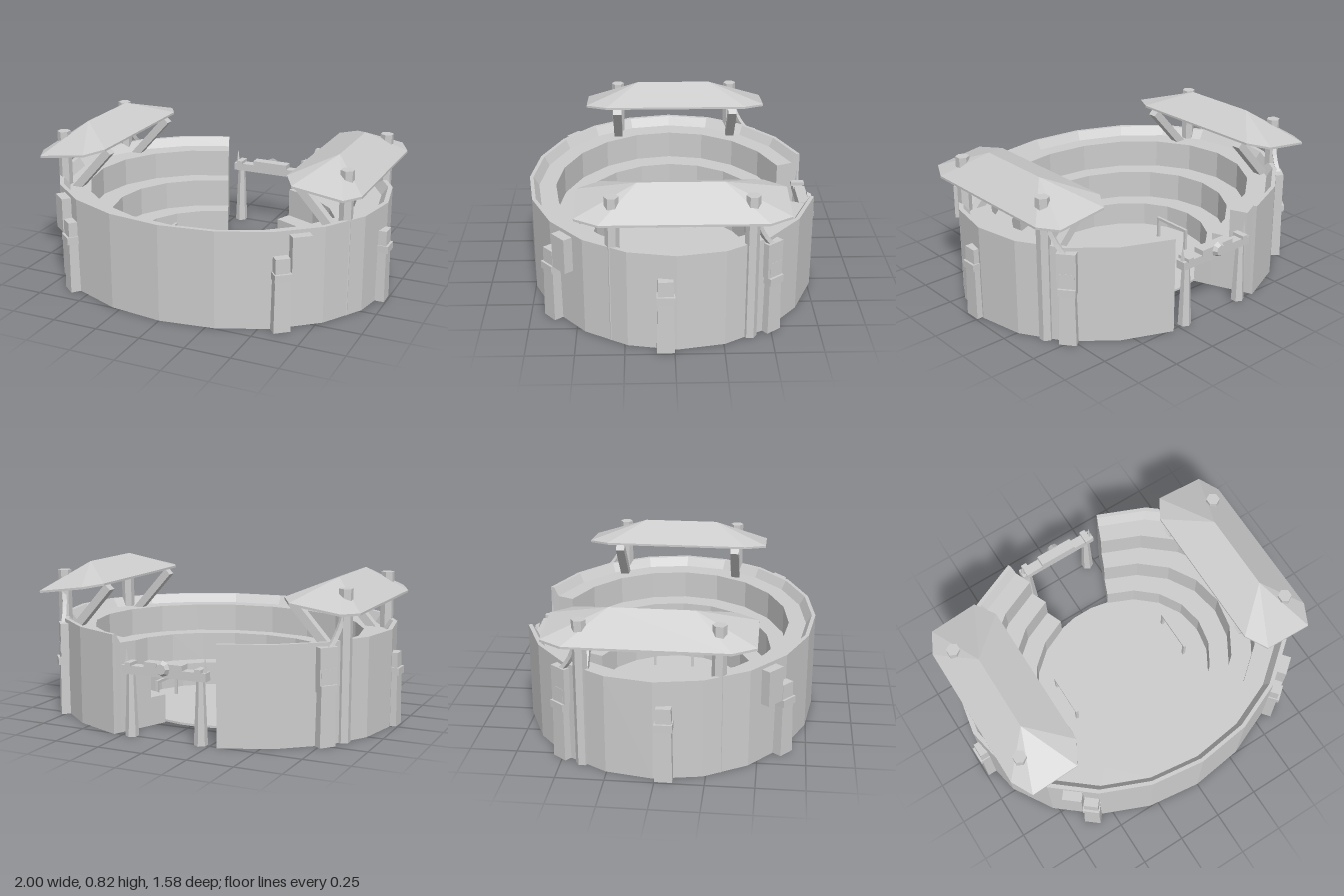
import * as THREE from 'three';
import { ConvexGeometry } from 'three/addons/geometries/ConvexGeometry.js';

const stone = new THREE.MeshStandardMaterial({ color: 0xcccccc, side: THREE.DoubleSide, flatShading: true });
stone.name = 'stone grey';

const CZ = -0.01; // centre of the elliptical rings along z

function add(parent, name, geo, x = 0, y = 0, z = 0, ry = 0) {
  const mesh = new THREE.Mesh(geo, stone);
  mesh.name = name;
  mesh.position.set(x, y, z);
  mesh.rotation.y = ry;
  parent.add(mesh);
  return mesh;
}
const box = (w, h, d) => new THREE.BoxGeometry(w, h, d);

// Box beam running from a to b
function beam(parent, name, a, b, w, d) {
  const p = new THREE.Vector3(...a), q = new THREE.Vector3(...b);
  const mesh = add(parent, name, box(w, p.distanceTo(q), d));
  mesh.position.copy(p).lerp(q, 0.5);
  mesh.quaternion.setFromUnitVectors(new THREE.Vector3(0, 1, 0), q.sub(p).normalize());
  return mesh;
}

// Stepped seating ring, open at the back and hollow underneath
function seatingRing() {
  const profile = [ // x radius, z radius, height
    [0.96, 0.795, 0], [0.96, 0.795, 0.53], [0.935, 0.775, 0.53], [0.9, 0.745, 0.48],
    [0.775, 0.65, 0.48], [0.775, 0.65, 0.32], [0.65, 0.555, 0.32],
    [0.65, 0.555, 0.155], [0.53, 0.46, 0.155], [0.53, 0.46, 0],
  ];
  const steps = 18, pos = [];
  const point = (j, i, y = profile[j][2]) => {
    const a = THREE.MathUtils.degToRad(18 + 18 * i);
    return [profile[j][0] * Math.sin(a), y, CZ - profile[j][1] * Math.cos(a)];
  };
  const quad = (a, b, c, d) => pos.push(...a, ...b, ...c, ...a, ...c, ...d);
  for (let j = 0; j < profile.length - 1; j++) {
    for (let i = 0; i < steps; i++) {
      quad(point(j, i), point(j + 1, i), point(j + 1, i + 1), point(j, i + 1));
    }
    // stair-shaped end walls beside the entrance
    if (j > 0 && profile[j][0] !== profile[j + 1][0]) {
      quad(point(j, 0, 0), point(j + 1, 0, 0), point(j + 1, 0), point(j, 0));
      quad(point(j, steps), point(j + 1, steps), point(j + 1, steps, 0), point(j, steps, 0));
    }
  }
  const geo = new THREE.BufferGeometry();
  geo.setAttribute('position', new THREE.Float32BufferAttribute(pos, 3));
  geo.computeVertexNormals();
  return geo;
}

// Hipped roof slab with cut corners, sloping down to the outside
function roofGeometry(s) {
  const rim = [[0.6, -0.575], [0.87, -0.575], [0.93, -0.46], [0.93, 0.37],
    [0.87, 0.49], [0.6, 0.49], [0.53, 0.37], [0.53, -0.46]];
  const pts = [new THREE.Vector3(s * 0.745, 0.825, -0.25), new THREE.Vector3(s * 0.745, 0.825, 0.18)];
  for (const [x, z] of rim) {
    const y = 0.738 - 0.1375 * (x - 0.53);
    pts.push(new THREE.Vector3(s * x, y, z), new THREE.Vector3(s * x, y - 0.012, z));
  }
  return new ConvexGeometry(pts);
}

function buildRoof(s) {
  const g = new THREE.Group();
  g.name = s > 0 ? 'leftCanopy' : 'rightCanopy';
  add(g, 'roof', roofGeometry(s));
  for (const z of [-0.385, 0.305]) {
    add(g, 'roofPole', new THREE.CylinderGeometry(0.037, 0.037, 0.79, 6), s * 0.83, 0.395, z);
    beam(g, 'roofStrut', [s * 0.8, 0.42, z], [s * 0.54, 0.71, z], 0.045, 0.05);
  }
  // curved brace behind the back pole
  const curve = new THREE.QuadraticBezierCurve3(
    new THREE.Vector3(s * 0.83, 0.69, -0.4), new THREE.Vector3(s * 0.81, 0.56, -0.42),
    new THREE.Vector3(s * 0.78, 0.49, -0.5));
  add(g, 'curvedBrace', new THREE.TubeGeometry(curve, 6, 0.016, 4));
  return g;
}

// Tapered wall post with a collar
function buildPost(name, x, z, ry, height) {
  const g = new THREE.Group();
  g.name = name;
  const shaft = new THREE.CylinderGeometry(0.05, 0.06, height, 4, 1);
  shaft.rotateY(Math.PI / 4);
  shaft.scale(1.08, 1, 0.75);
  add(g, 'postShaft', shaft, 0, height / 2, 0);
  add(g, 'postCollar', box(0.092, 0.04, 0.08), 0, 0.3, 0);
  g.position.set(x, 0, z);
  g.rotation.y = ry;
  return g;
}

// Entrance gate at the back
function buildGate() {
  const g = new THREE.Group();
  g.name = 'gate';
  const z = -0.745;
  for (const s of [1, -1]) {
    add(g, 'gatePost', new THREE.CylinderGeometry(0.022, 0.036, 0.34, 6), s * 0.2, 0.17, z);
    add(g, 'gatePeg', box(0.035, 0.02, 0.075), s * 0.2, 0.385, z);
    add(g, 'gateSpike', new THREE.ConeGeometry(0.012, 0.09, 5), s * 0.225, 0.42, z);
  }
  add(g, 'gateBeam', box(0.48, 0.045, 0.055), 0, 0.355, z);
  add(g, 'gatePlate', box(0.22, 0.04, 0.06), 0, 0.385, z);
  const boss = add(g, 'gateBoss', new THREE.CylinderGeometry(0.028, 0.042, 0.025, 8), 0, 0.38, -0.785);
  boss.rotation.x = -Math.PI / 2;
  return g;
}

// Low frame standing on the arena floor
function buildFrame(s) {
  const g = new THREE.Group();
  g.name = 'floorFrame';
  const x = s * 0.375;
  for (const z of [-0.157, 0.072]) add(g, 'frameUpright', box(0.016, 0.13, 0.016), x, 0.075, z);
  add(g, 'frameBar', box(0.016, 0.016, 0.245), x, 0.138, -0.0425);
  return g;
}

export function createModel() {
  const model = new THREE.Group();
  model.name = 'arena';
  add(model, 'seatingRing', seatingRing());

  // arena floor
  const floor = new THREE.CylinderGeometry(1, 1, 0.012, 28);
  floor.rotateY(Math.PI / 28);
  floor.scale(0.53, 1, 0.467);
  add(model, 'arenaFloor', floor, 0, 0.012, CZ);

  for (const s of [1, -1]) {
    model.add(buildRoof(s), buildFrame(s));
    // wall posts: front, side and back
    model.add(buildPost('frontPost', s * 0.608, 0.625, s * 0.69, 0.4));
    add(model, 'frontPostBlock', box(0.105, 0.19, 0.06), s * 0.685, 0.415, 0.562, s * 0.69);
    model.add(buildPost('sidePost', s * 0.96, 0.045, s * Math.PI / 2, 0.4));
    model.add(buildPost('backPost', s * 0.77, -0.495, s * 2.25, 0.4));
    add(model, 'backPostBlock', box(0.1, 0.19, 0.06), s * 0.768, 0.415, -0.49, s * 2.25);
  }
  model.add(buildGate());
  return model;
}
